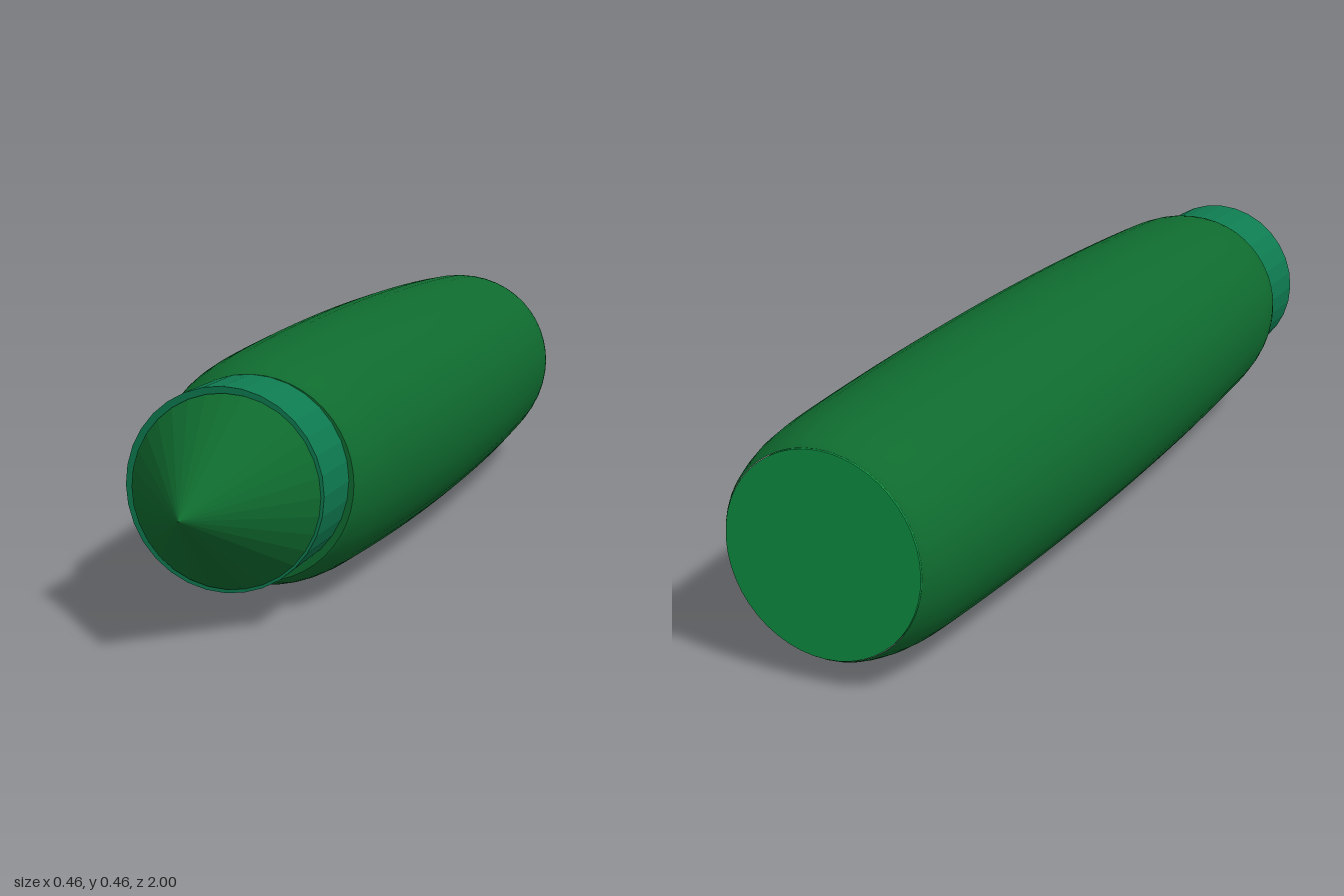
import * as THREE from 'three';

const AXIS_Y = 0.23;

function part(name, geometry, color, flatShading = false) {
  const mesh = new THREE.Mesh(geometry, new THREE.MeshStandardMaterial({ color, flatShading }));
  mesh.name = name;
  return mesh;
}

export function createModel() {
  const group = new THREE.Group();
  group.name = 'crayon';

  // Barrel: gently swollen tube, lathed then laid along z
  const half = [[0.183, 0.813], [0.192, 0.795], [0.207, 0.73], [0.216, 0.61], [0.226, 0.33]];
  const profile = [
    ...half.map(([r, z]) => new THREE.Vector2(r, -z)),
    new THREE.Vector2(0.23, 0),
    ...half.slice().reverse().map(([r, z]) => new THREE.Vector2(r, z)),
  ];
  const curve = new THREE.SplineCurve(profile).getPoints(40);
  const barrel = part('barrel', new THREE.LatheGeometry(curve, 48).rotateX(Math.PI / 2), 0x0f6b2f);
  barrel.position.set(0, AXIS_Y, -0.185);
  group.add(barrel);

  // Flat discs closing both ends of the barrel
  const frontCap = part('barrelFrontCap', new THREE.CircleGeometry(0.183, 48), 0x0f6b2f);
  frontCap.position.set(0, AXIS_Y, 0.628);
  const backCap = part('barrelBackCap', new THREE.CylinderGeometry(0.182, 0.182, 0.01, 48).rotateX(Math.PI / 2), 0x0e9444);
  backCap.position.set(0, AXIS_Y, -0.995);
  group.add(frontCap, backCap);

  // Collar between barrel and tip
  const collar = part('collar', new THREE.CylinderGeometry(0.176, 0.176, 0.15, 32).rotateX(Math.PI / 2), 0x0e7a50, true);
  collar.position.set(-0.002, 0.237, 0.692);
  group.add(collar);

  // Pointed tip, leaning very slightly sideways
  const tip = part('tip', new THREE.ConeGeometry(0.167, 0.23, 32).rotateX(Math.PI / 2), 0x0f6b2f, true);
  tip.position.set(0.006, 0.235, 0.885);
  tip.rotation.y = 0.03;
  group.add(tip);

  return group;
}
